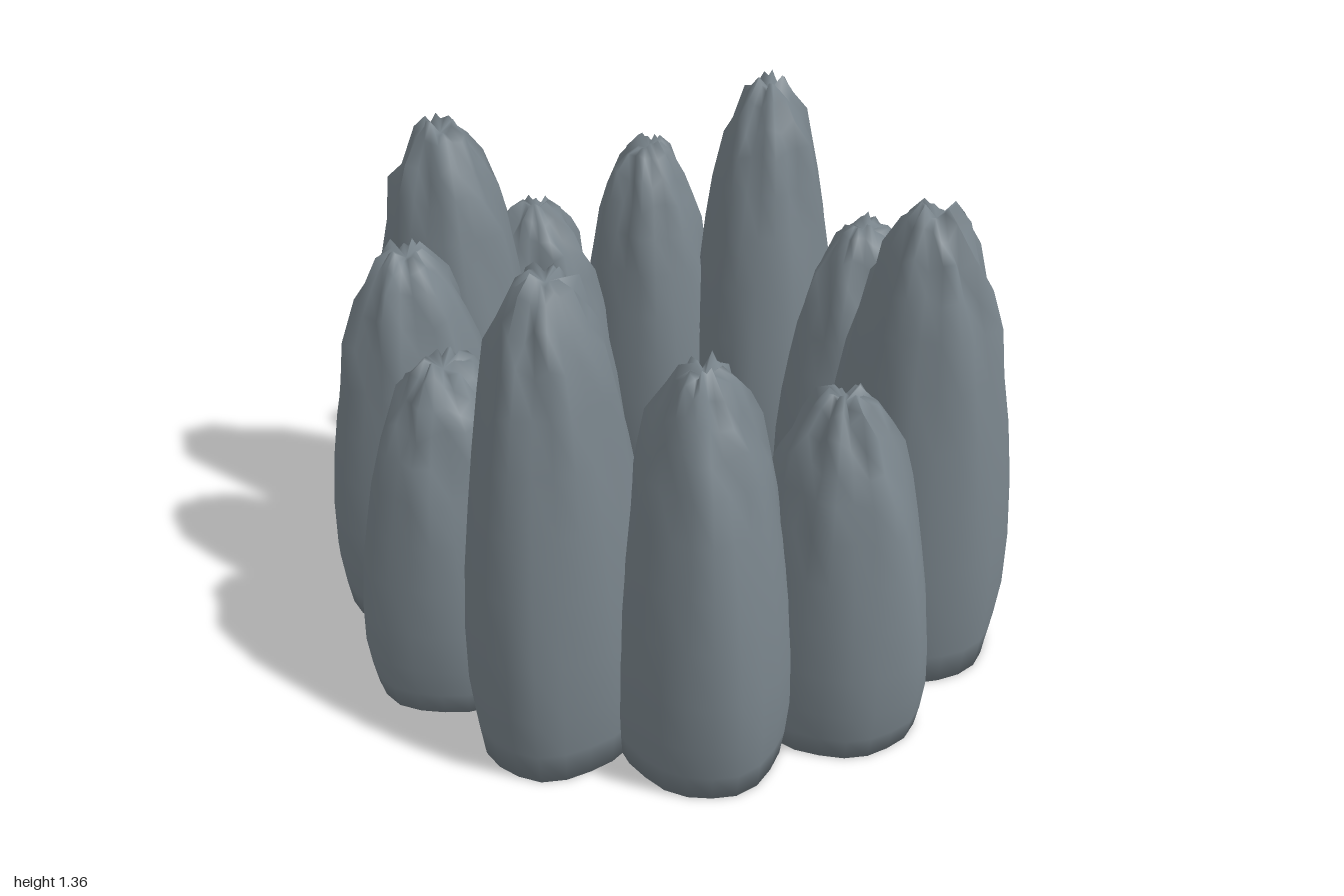
import * as THREE from 'three';
import { mergeVertices } from 'three/addons/utils/BufferGeometryUtils.js';

const SIDES = 22;

// [radius, height fraction] from the base centre to the tip
const PROFILE = [
  [0, 0], [0.238, 0], [0.25, 0.07], [0.26, 0.16], [0.257, 0.28], [0.243, 0.42],
  [0.222, 0.55], [0.197, 0.67], [0.17, 0.77], [0.142, 0.85], [0.112, 0.91],
  [0.075, 0.955], [0.04, 0.985], [0, 0.975],
];

// Seeded random numbers in 0..1
function seeded(seed) {
  let s = seed * 7919 + 17;
  return () => {
    s = (s * 16807) % 2147483647;
    return s / 2147483647;
  };
}

// One pillar: a lathe with soft bulges, twisted folds and a ragged tip
function pillarGeometry(height, seed) {
  const rand = seeded(seed);
  for (let i = 0; i < 5; i++) rand();
  const phase = rand() * 6.28;
  const points = PROFILE.map(([r, y]) => new THREE.Vector2(r, y * height));
  const geo = new THREE.LatheGeometry(points, SIDES);
  const rows = PROFILE.length;
  const jitter = Array.from({ length: rows * SIDES }, () => rand() - 0.5);
  const pos = geo.attributes.position;

  for (let i = 0; i < pos.count; i++) {
    const row = i % rows;
    const side = Math.floor(i / rows) % SIDES;
    const [radius, t] = PROFILE[row];
    if (radius === 0) continue;
    const angle = (side / SIDES) * Math.PI * 2;
    const top = THREE.MathUtils.smoothstep(t, 0.5, 1);
    const n = jitter[row * SIDES + side];
    // folds deepen and swirl toward the tip
    const fold = Math.cos(7 * angle + phase + t * 5) * (0.012 + 0.1 * top);
    const bulge = 0.022 * Math.sin(3 * angle + phase * 2 + t * 2);
    const r = radius * (1 + fold + bulge + n * 0.14 * top);
    const spike = t > 0.8 ? n * 0.05 + (t > 0.95 ? 0.012 : 0) : n * 0.02 * top;
    pos.setXYZ(
      i,
      Math.sin(angle) * r * 0.92,
      t * height + spike,
      Math.cos(angle) * r * 1.05,
    );
  }

  geo.deleteAttribute('normal');
  geo.deleteAttribute('uv');
  const merged = mergeVertices(geo, 1e-5);
  merged.computeVertexNormals();
  return merged;
}

export function createModel() {
  const group = new THREE.Group();
  group.name = 'rockPillarRing';
  const stone = new THREE.MeshStandardMaterial({ color: 0x78838a });
  stone.name = 'slate grey';

  // Twelve pillars in a ring: short, tall and medium in turn
  const heights = [0.97, 1.34, 1.12];
  for (let i = 0; i < 12; i++) {
    const angle = (i * Math.PI) / 6;
    const pillar = new THREE.Mesh(pillarGeometry(heights[i % 3], i + 1), stone);
    pillar.name = `rockPillar${i + 1}`;
    pillar.position.set(Math.sin(angle) * 0.72, 0, Math.cos(angle) * 0.72);
    pillar.rotation.y = angle;
    group.add(pillar);
  }
  return group;
}
